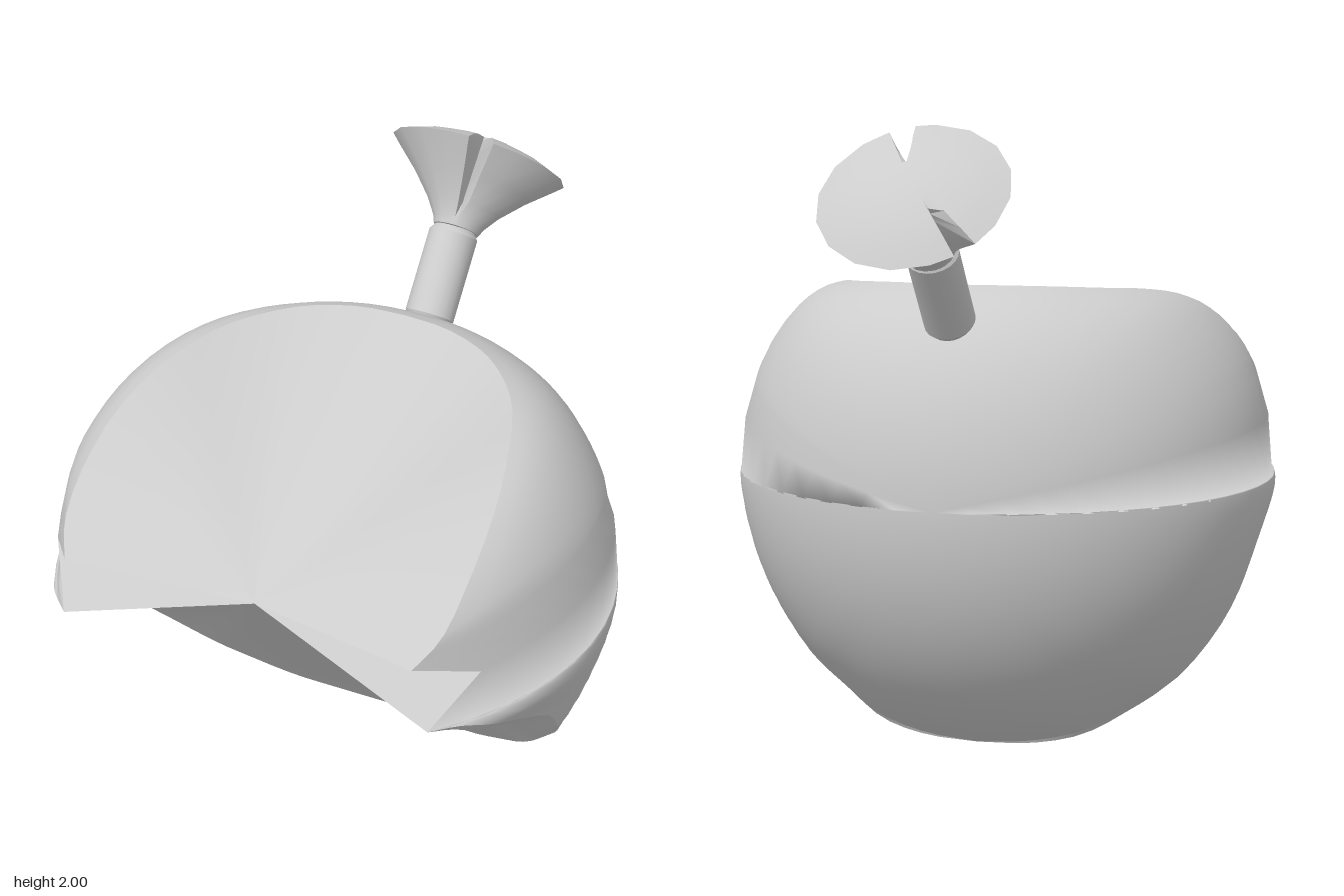
import * as THREE from 'three';
import { toCreasedNormals } from 'three/addons/utils/BufferGeometryUtils.js';

const V = (x, y, z) => new THREE.Vector3(x, y, z);

// Skin between successive rows of points, skipping collapsed triangles
function loft(rows, crease) {
  const out = [];
  const tri = (a, b, c) => {
    const n = b.clone().sub(a).cross(c.clone().sub(a));
    if (n.length() > 1e-9) for (const p of [a, b, c]) out.push(p.x, p.y, p.z);
  };
  for (let j = 0; j < rows.length - 1; j++) {
    for (let i = 0; i < rows[j].length - 1; i++) {
      const a = rows[j][i], b = rows[j][i + 1], c = rows[j + 1][i + 1], d = rows[j + 1][i];
      tri(a, b, c);
      tri(a, c, d);
    }
  }
  const g = new THREE.BufferGeometry();
  g.setAttribute('position', new THREE.Float32BufferAttribute(out, 3));
  return toCreasedNormals(g, crease);
}

const curve = (pts, n) => new THREE.CatmullRomCurve3(pts.map(p => V(...p)), false, 'centripetal').getPoints(n);
const mirror = pts => pts.map(p => V(-p.x, p.y, p.z)).reverse();

export function createModel() {
  const group = new THREE.Group();
  const grey = new THREE.MeshStandardMaterial({ color: 0xcccccc });
  grey.name = 'light grey';
  const add = (name, geometry, parent = group) => {
    const m = new THREE.Mesh(geometry, grey);
    m.name = name;
    parent.add(m);
    return m;
  };

  // Half outline of the open front: upper arc, slot tip, lower arc
  const upper = curve([
    [0, 1.5, -0.185], [0.15, 1.5, -0.17], [0.3, 1.495, -0.11], [0.4, 1.487, -0.03],
    [0.5, 1.475, 0.1], [0.58, 1.44, 0.3], [0.63, 1.37, 0.5], [0.645, 1.26, 0.7],
    [0.63, 1.15, 0.84], [0.58, 1.08, 0.925],
  ], 24);
  const tip = V(0.72, 1.01, 0.76);
  const lower = curve([
    [0.62, 0.85, 0.9], [0.69, 0.855, 0.84], [0.755, 0.82, 0.75], [0.79, 0.75, 0.61],
    [0.81, 0.65, 0.45], [0.79, 0.5, 0.32], [0.73, 0.36, 0.2], [0.62, 0.22, 0.09],
    [0.5, 0.14, 0.03], [0.35, 0.06, -0.03], [0.18, 0.02, -0.065], [0, 0.005, -0.075],
  ], 30);
  // Inner edge of the lower lip, level with the rim at both ends
  const inner = lower.map((p, i) => {
    const k = Math.min(1, i / 5) * Math.min(1, p.x / 0.6);
    return V(p.x * (1 - 0.06 * k), p.y - 0.03 * k, p.z + 0.012 * k);
  });
  const lowerLoop = [...lower, ...mirror(lower).slice(1)];
  const innerLoop = [...inner, ...mirror(inner).slice(1)];
  const upperLoop = [...mirror(upper), ...upper.slice(1)];

  // Rounded shell: each rim point sweeps over an ellipsoid to the back pole
  const centre = V(0, 0.85, 0.2), radii = V(0.855, 0.85, 0.76);
  const rim = [...upper, tip, ...lowerLoop, ...mirror([tip]), ...mirror(upper)];
  const steps = 18, shellRows = [];
  for (let j = 0; j <= steps; j++) {
    const t = 1 - j / steps;
    shellRows.push(rim.map(p => {
      if (j === 0) return p.clone();
      const q = p.clone().sub(centre).divide(radii);
      const len = q.length(), angle = Math.acos(-q.z / len) * t;
      const side = V(q.x, q.y, 0).normalize().multiplyScalar(Math.sin(angle));
      side.z = -Math.cos(angle);
      return side.multiplyScalar(1 + (len - 1) * t ** 4).multiply(radii).add(centre);
    }));
  }
  add('shell', loft(shellRows, Math.PI));

  // Front faces fan out from one central point
  const hub = V(0, 1.03, 0.8);
  const fan = loop => loft([loop.map(() => hub), loop], 0.5);
  add('topPlate', fan(upperLoop));
  add('underside', fan(innerLoop));
  add('lowerLip', loft([innerLoop, lowerLoop], 0.7));
  const slotEdge = [upper[upper.length - 1], tip, lower[0]];
  add('leftSlot', fan(slotEdge));
  add('rightSlot', fan(mirror(slotEdge)));

  // Stalk leaning backwards
  const profile = [[0, 0], [0.066, 0], [0.08, 0.02], [0.08, 0.293], [0.066, 0.313], [0, 0.313]];
  const stalk = add('stalk', toCreasedNormals(
    new THREE.LatheGeometry(profile.map(p => new THREE.Vector2(...p)), 20), 0.6));
  stalk.position.set(0, 1.39, -0.35);
  stalk.rotation.x = -0.67;

  // Flared head with two wedge notches: [angle in degrees, notch depth radius]
  const columns = [
    [0], [12], [18, 0.085], [28], [45], [67.5], [90], [112.5], [135], [157.5], [180],
    [202.5], [217], [219, 0.12], [231], [247.5], [270], [292.5], [315], [337.5], [360],
  ];
  const ring = ([r, y]) => columns.map(([deg, depth = 1]) => {
    const a = THREE.MathUtils.degToRad(deg), s = Math.min(r, depth);
    return V(s * Math.sin(a), y, s * Math.cos(a));
  });
  const head = new THREE.Group();
  head.name = 'head';
  head.position.set(0, 1.628, -0.55);
  head.rotation.x = -0.742;
  group.add(head);
  add('headCone', loft([[0, 0], [0.075, 0], [0.085, 0.025], [0.12, 0.075], [0.19, 0.15], [0.29, 0.24]].map(ring), 0.6), head);
  add('headDome', loft([[0.29, 0.24], [0.23, 0.265], [0.16, 0.286], [0.085, 0.299], [0, 0.304]].map(ring), 0.6), head);

  return group;
}
